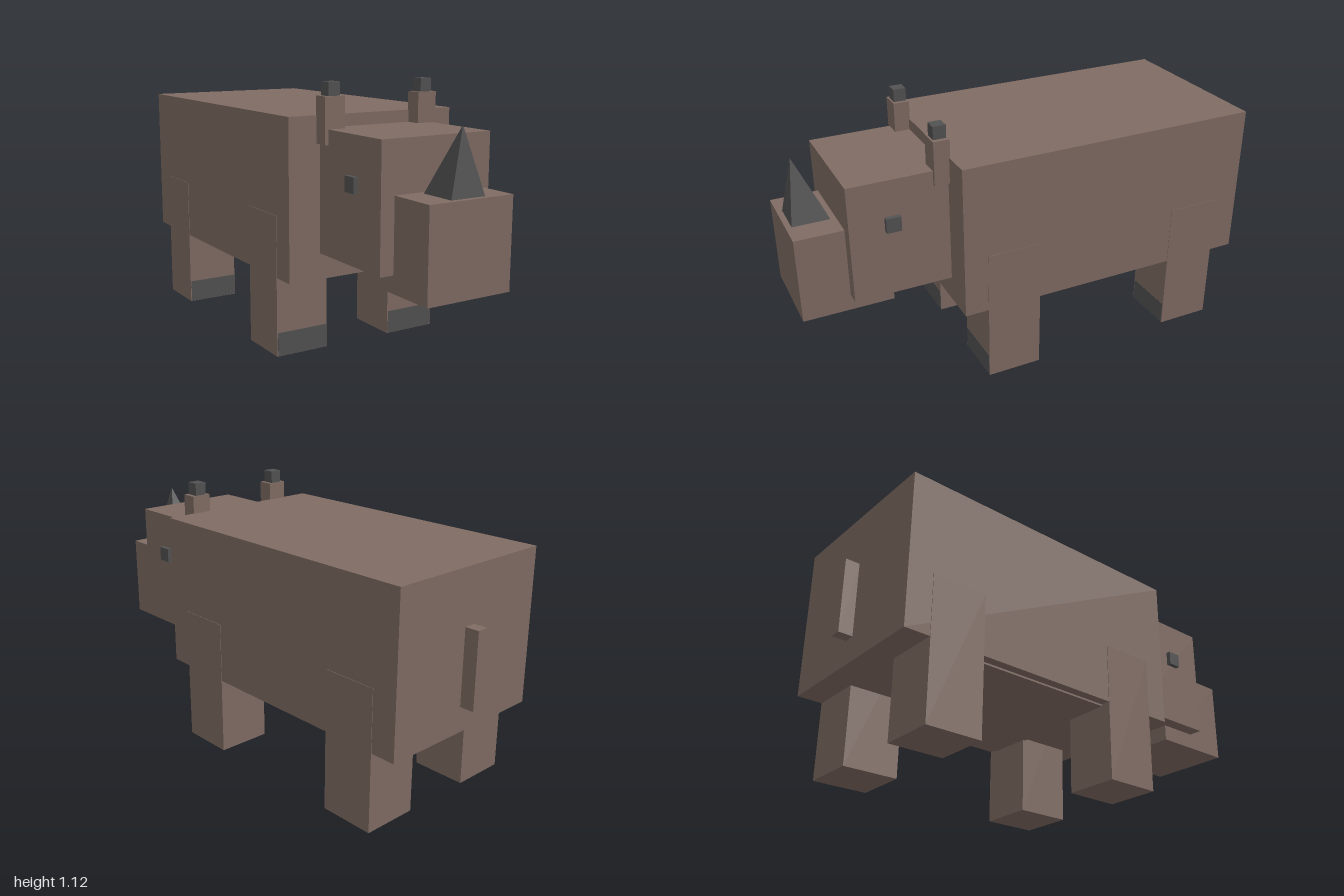
import * as THREE from 'three';

export function createModel() {
  const model = new THREE.Group();
  model.name = 'rhinoceros';

  const hide = new THREE.MeshStandardMaterial({ color: 0x806c63 });
  hide.name = 'brown hide';
  const dark = new THREE.MeshStandardMaterial({ color: 0x525252 });
  dark.name = 'dark grey';

  // Box given by its lower and upper bounds on each axis
  function block(name, material, [x0, x1], [y0, y1], [z0, z1]) {
    const mesh = new THREE.Mesh(new THREE.BoxGeometry(x1 - x0, y1 - y0, z1 - z0), material);
    mesh.position.set((x0 + x1) / 2, (y0 + y1) / 2, (z0 + z1) / 2);
    mesh.name = name;
    model.add(mesh);
  }

  // Same box on both sides of the model
  function pair(name, material, [x0, x1], y, z) {
    block(name + 'Left', material, [x0, x1], y, z);
    block(name + 'Right', material, [-x1, -x0], y, z);
  }

  // Trunk, belly and tail
  block('body', hide, [-0.39, 0.39], [0.333, 0.99], [-0.94, 0.387]);
  block('belly', hide, [-0.35, 0.35], [0.325, 0.345], [-0.61, 0.06]);
  block('tail', hide, [-0.025, 0.025], [0.44, 0.76], [-1, -0.94]);

  // Head and muzzle
  block('head', hide, [-0.25, 0.25], [0.44, 0.94], [0.38, 0.8]);
  block('muzzle', hide, [-0.19, 0.19], [0.37, 0.735], [0.62, 1]);

  // Ears with dark tips, and eyes
  pair('ear', hide, [0.176, 0.265], [0.88, 1.066], [0.382, 0.45]);
  pair('earTip', dark, [0.193, 0.246], [1.06, 1.12], [0.388, 0.442]);
  pair('eye', dark, [0.24, 0.27], [0.724, 0.786], [0.594, 0.656]);

  // Legs with thin toenail plates on the front of each foot
  for (const [name, z0, z1] of [['front', 0.048, 0.285], ['hind', -0.832, -0.595]]) {
    pair(name + 'Leg', hide, [0.156, 0.392], [0, 0.59], [z0, z1]);
    pair(name + 'Toenail', dark, [0.16, 0.388], [0.001, 0.1], [z1 - 0.003, z1 + 0.001]);
  }

  // Four-sided horn whose tip leans forward
  const hornGeometry = new THREE.ConeGeometry(0.077 * Math.SQRT2, 0.255, 4).rotateY(Math.PI / 4);
  const points = hornGeometry.attributes.position;
  for (let i = 0; i < points.count; i++) {
    if (points.getY(i) > 0) points.setZ(i, points.getZ(i) + 0.036);
  }
  const flatHorn = hornGeometry.toNonIndexed();
  flatHorn.computeVertexNormals();
  const horn = new THREE.Mesh(flatHorn, dark);
  horn.position.set(0, 0.735 + 0.1275, 0.9);
  horn.name = 'horn';
  model.add(horn);

  return model;
}
